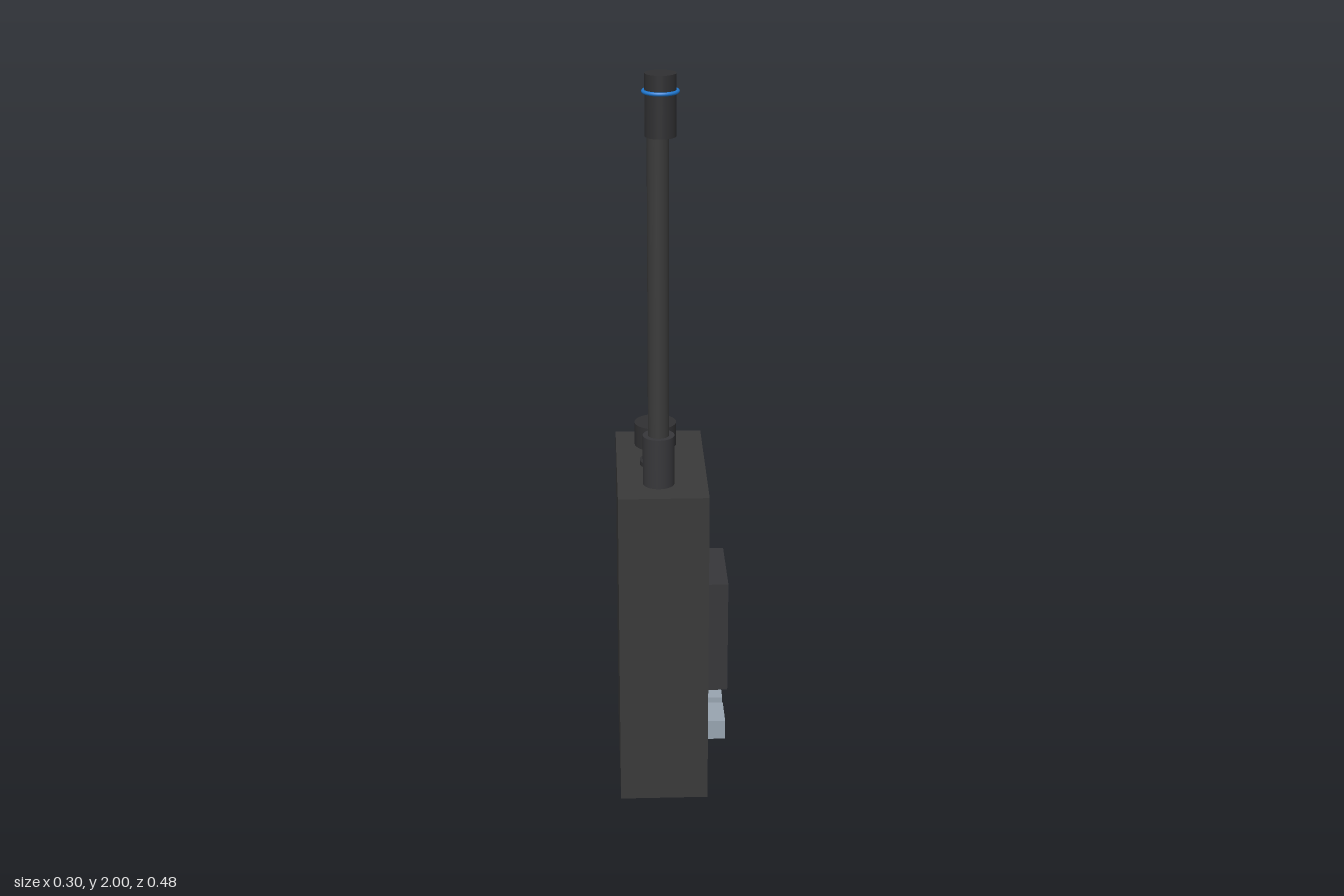
import * as THREE from 'three';

const paint = (color) => new THREE.MeshStandardMaterial({ color });
const shell = paint(0x3a3a3a), trim = paint(0x37373a), dark = paint(0x303032);
const silver = paint(0x98a4b0), green = paint(0x218c32), red = paint(0xc0402a), blue = paint(0x2078d0);

export function createModel() {
  const model = new THREE.Group();

  const add = (name, geometry, material, parent = model) => {
    const mesh = new THREE.Mesh(geometry, material);
    mesh.name = name;
    parent.add(mesh);
    return mesh;
  };

  // Box given by its limits on each axis
  const box = (name, material, [x0, x1], [y0, y1], [z0, z1], parent) =>
    add(name, new THREE.BoxGeometry(x1 - x0, y1 - y0, z1 - z0), material, parent)
      .position.set((x0 + x1) / 2, (y0 + y1) / 2, (z0 + z1) / 2);

  // Upright cylinder from y0 to y1
  const post = (name, material, r, x, z, y0, y1, parent) =>
    add(name, new THREE.CylinderGeometry(r, r, y1 - y0, 32), material, parent)
      .position.set(x, (y0 + y1) / 2, z);

  // Slab facing +x with a rectangular opening
  const corners = ([y0, y1], [z0, z1]) =>
    [[-z1, y0], [-z0, y0], [-z0, y1], [-z1, y1]].map(([a, b]) => new THREE.Vector2(a, b));
  const frame = (name, material, [x0, x1], y, z, holeY, holeZ, parent) => {
    const shape = new THREE.Shape(corners(y, z));
    shape.holes.push(new THREE.Path(corners(holeY, holeZ)));
    const geometry = new THREE.ExtrudeGeometry(shape, { depth: x1 - x0, bevelEnabled: false });
    geometry.rotateY(Math.PI / 2).translate(x0, 0, 0);
    add(name, geometry, material, parent);
  };

  // Case, with the speaker slot cut into its face
  const body = new THREE.Group();
  body.name = 'body';
  model.add(body);
  box('case', shell, [-0.15, 0.06], [0, 0.905], [-0.24, 0.24], body);
  frame('facePlate', shell, [0.06, 0.09], [0, 0.905], [-0.24, 0.24], [0.74, 0.79], [-0.145, 0.145], body);

  // Display housing with a recessed screen
  const display = new THREE.Group();
  display.name = 'display';
  model.add(display);
  frame('displayFrame', trim, [0.09, 0.15], [0.27, 0.595], [-0.115, 0.12], [0.34, 0.523], [-0.065, 0.07], display);
  box('screen', green, [0.09, 0.13], [0.34, 0.523], [-0.065, 0.07], display);

  // Two push buttons below the display
  for (const [i, z] of [0.07, -0.063].entries())
    box(`pushButton${i + 1}`, silver, [0.09, 0.145], [0.115, 0.172], [z - 0.052, z + 0.052]);

  // Controls on the top
  post('knob', dark, 0.058, -0.04, -0.147, 0.905, 0.97);
  post('alarmCollar', dark, 0.047, -0.04, -0.003, 0.905, 0.917);
  post('alarmButton', red, 0.021, -0.04, -0.003, 0.917, 0.935);

  // Antenna
  const antenna = new THREE.Group();
  antenna.name = 'antenna';
  model.add(antenna);
  post('antennaBase', trim, 0.042, -0.04, 0.135, 0.905, 1.043, antenna);
  post('antennaRod', shell, 0.028, -0.04, 0.135, 1.043, 1.845, antenna);
  post('antennaTip', dark, 0.04, -0.033, 0.132, 1.842, 2, antenna);
  const ring = add('antennaRing', new THREE.TorusGeometry(0.043, 0.005, 10, 40), blue, antenna);
  ring.rotation.x = Math.PI / 2;
  ring.position.set(-0.033, 1.955, 0.132);

  return model;
}
